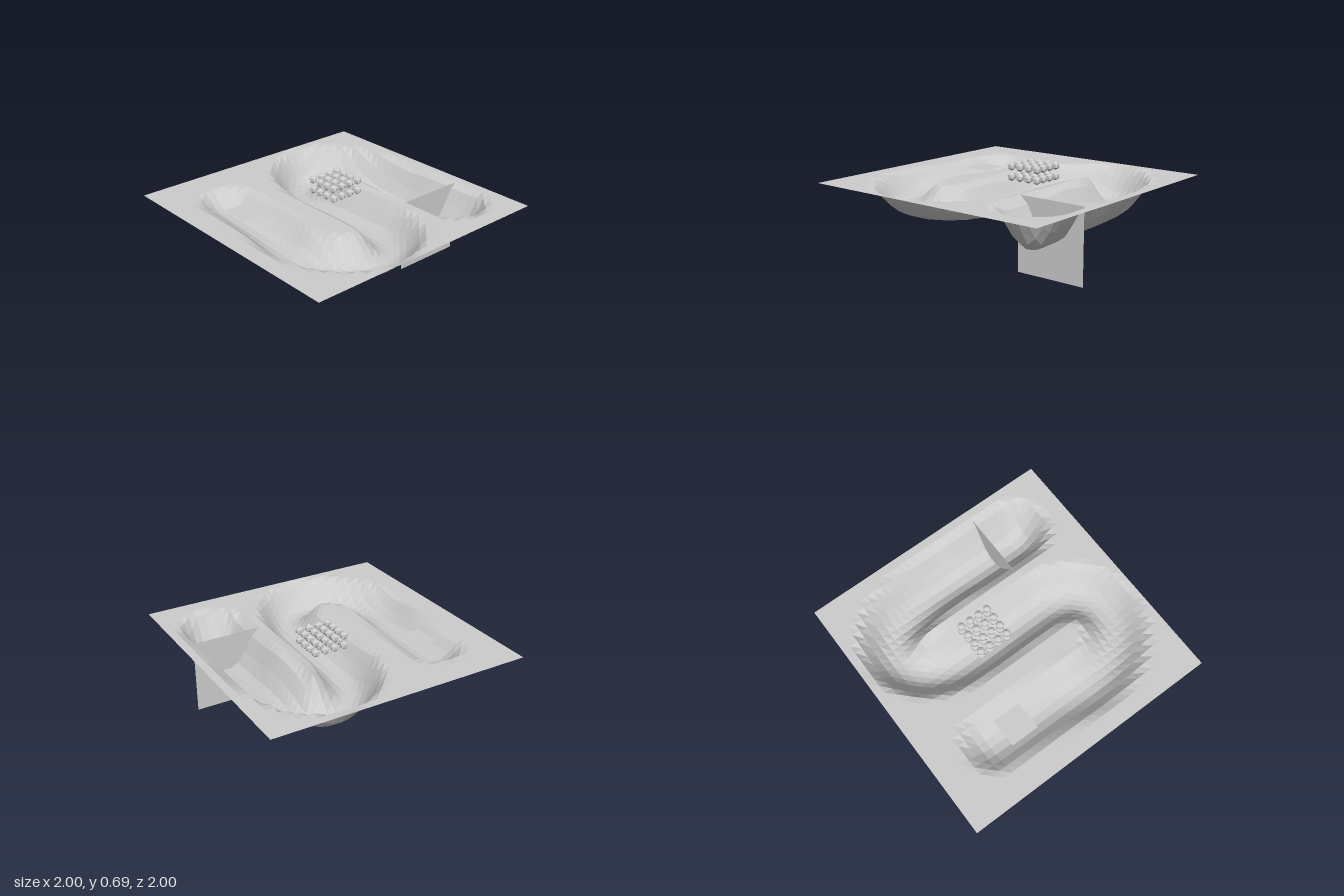
import * as THREE from 'three';

const RIM = 0.555; // height of the flat ground

// Centre line of the winding channel, as [x, z]
const course = new THREE.CatmullRomCurve3([
  [-0.56, -0.53], [-0.57, -0.3], [-0.59, 0], [-0.62, 0.3], [-0.56, 0.53],
  [-0.42, 0.68], [-0.23, 0.73], [-0.04, 0.65], [0.06, 0.45], [0.08, 0.2],
  [0.08, -0.2], [0.11, -0.43], [0.2, -0.61], [0.38, -0.7], [0.55, -0.61],
  [0.63, -0.4], [0.66, -0.1], [0.65, 0.2], [0.65, 0.58],
].map(([x, z]) => new THREE.Vector3(x, 0, z)));

const SAMPLES = 240;
const coursePoints = course.getSpacedPoints(SAMPLES);

// Ground height: a rounded trough that widens and deepens along the course
function groundHeight(x, z) {
  let best = Infinity, t = 0;
  coursePoints.forEach((p, i) => {
    const d = Math.hypot(p.x - x, p.z - z);
    if (d < best) { best = d; t = i / SAMPLES; }
  });
  const halfWidth = 0.24 + 0.03 * t;
  const depth = 0.13 + 0.16 * t;
  const r = Math.min(best / halfWidth, 1);
  return RIM - depth * (1 - r ** 2.5) ** 2;
}

export function createModel() {
  const model = new THREE.Group();
  model.name = 'channelTerrain';
  const grey = new THREE.MeshStandardMaterial({
    color: 0xcccccc, flatShading: true, side: THREE.DoubleSide,
  });
  grey.name = 'plainGrey';

  const add = (name, geometry, x = 0, y = 0, z = 0, parent = model) => {
    const mesh = new THREE.Mesh(geometry, grey);
    mesh.name = name;
    mesh.position.set(x, y, z);
    parent.add(mesh);
    return mesh;
  };

  // Ground sheet with the carved channel
  const ground = new THREE.PlaneGeometry(2, 2, 32, 32).rotateX(-Math.PI / 2);
  const pos = ground.attributes.position;
  for (let i = 0; i < pos.count; i++) {
    pos.setY(i, groundHeight(pos.getX(i), pos.getZ(i)));
  }
  ground.computeVertexNormals();
  add('ground', ground);

  // Small flat sheet at the channel's start
  add('inletPlate', new THREE.PlaneGeometry(0.22, 0.22).rotateX(-Math.PI / 2), -0.55, 0.525, -0.33);

  // Upright sheet across the channel's end
  add('outletPlate', new THREE.PlaneGeometry(0.55, RIM), 0.63, RIM / 2, 0.37);

  // Block of floating balls, each with a corner pointing up
  const balls = new THREE.Group();
  balls.name = 'balls';
  model.add(balls);
  const ball = new THREE.IcosahedronGeometry(0.034, 0)
    .rotateZ(-Math.atan(2 / (1 + Math.sqrt(5))));
  for (let layer = 0; layer < 2; layer++) {
    for (let row = 0; row < 4; row++) {
      for (let col = 0; col < 4; col++) {
        add('ball', ball, -0.003 + col * 0.078, 0.573 + layer * 0.078, -0.225 + row * 0.0755, balls);
      }
    }
  }
  return model;
}
